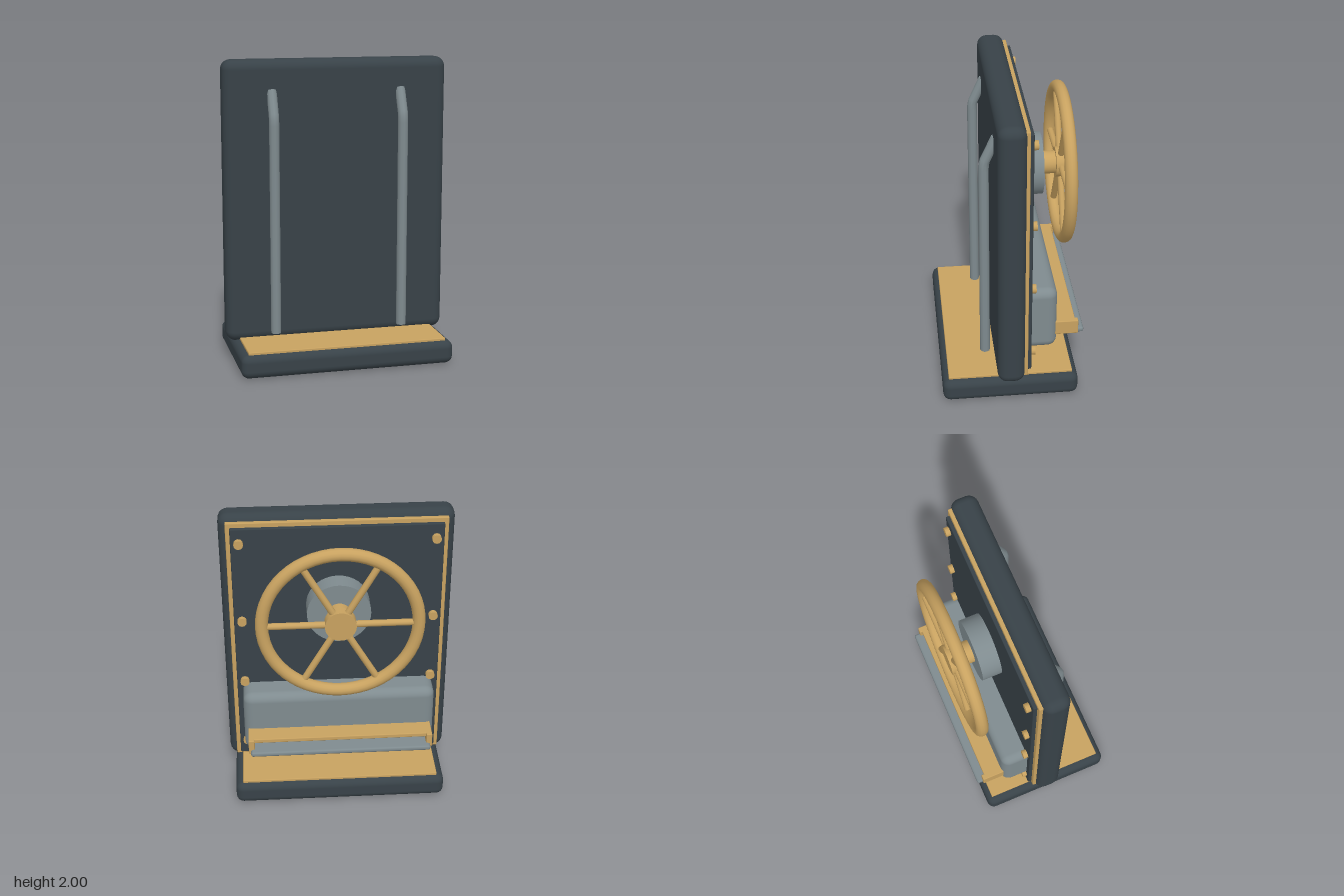
import * as THREE from 'three';
import { RoundedBoxGeometry } from 'three/addons/geometries/RoundedBoxGeometry.js';

export function createModel() {
  const model = new THREE.Group();
  const dark = new THREE.MeshStandardMaterial({ color: 0x384248 });
  const gold = new THREE.MeshStandardMaterial({ color: 0xc8a260 });
  const grey = new THREE.MeshStandardMaterial({ color: 0x7f8b8f });

  const add = (name, geometry, material, parent = model) => {
    const mesh = new THREE.Mesh(geometry, material);
    mesh.name = name;
    parent.add(mesh);
    return mesh;
  };

  // Rounded block given by its half width and its y and z extents
  const block = (name, material, halfX, [y0, y1], [z0, z1], radius, x = 0, parent = model) => {
    const g = new RoundedBoxGeometry(halfX * 2, y1 - y0, z1 - z0, radius > 0.02 ? 3 : 1, radius);
    g.translate(x, (y0 + y1) / 2, (z0 + z1) / 2);
    return add(name, g, material, parent);
  };

  // Cylinder along z between two depths
  const disc = (name, material, radius, x, y, [z0, z1], sides = 32, parent = model) => {
    const g = new THREE.CylinderGeometry(radius, radius, z1 - z0, sides);
    g.rotateX(Math.PI / 2);
    g.translate(x, y, (z0 + z1) / 2);
    return add(name, g, material, parent);
  };

  // Foot with its inlay
  block('base', dark, 0.708, [0, 0.155], [-0.427, 0.467], 0.05);
  block('baseInlay', gold, 0.66, [0.14, 0.17], [-0.39, 0.428], 0.006);

  // Upright slab with layered back plates
  block('panel', dark, 0.746, [0.143, 2], [-0.07, 0.108], 0.065);
  block('backTrim', gold, 0.7, [0.18, 1.96], [-0.09, -0.05], 0.006);
  block('backPlate', dark, 0.672, [0.207, 1.93], [-0.115, -0.08], 0.006);

  // Bolts down both sides of the back plate
  for (const x of [-0.62, 0.62])
    for (const y of [0.323, 0.81, 1.275, 1.835])
      disc('bolt', gold, 0.03, x, y, [-0.145, -0.105], 12);

  // Bent rails on the front
  for (const x of [-0.43, 0.43]) {
    const path = new THREE.CurvePath();
    const points = [[0.21, 0.168], [1.6, 0.168], [1.64, 0.162], [1.8, 0.09]]
      .map(([y, z]) => new THREE.Vector3(x, y, z));
    for (let i = 1; i < points.length; i++) path.add(new THREE.LineCurve3(points[i - 1], points[i]));
    add('rail', new THREE.TubeGeometry(path, 48, 0.033, 10, false), grey);
    // Flat ends of the rail
    const bottom = add('railEnd', new THREE.CircleGeometry(0.033, 10), grey);
    bottom.position.copy(points[0]);
    bottom.rotation.x = Math.PI / 2;
    const top = add('railEnd', new THREE.CircleGeometry(0.033, 10), grey);
    top.position.copy(points[3]);
    top.lookAt(points[3].clone().multiplyScalar(2).sub(points[2]));
  }

  // Spoked handwheel on its housing
  const wheelY = 1.38, wheelZ = -0.373;
  disc('wheelHousing', grey, 0.205, 0, wheelY, [-0.245, -0.1], 36);
  disc('wheelShaft', gold, 0.075, 0, wheelY, [-0.36, -0.235], 24);
  const wheel = new THREE.Group();
  wheel.name = 'handwheel';
  wheel.position.set(0, wheelY, wheelZ);
  model.add(wheel);
  add('rim', new THREE.TorusGeometry(0.494, 0.041, 14, 56), gold, wheel);
  disc('hub', gold, 0.1, 0, 0, [-0.035, 0.035], 28, wheel);
  for (let i = 0; i < 6; i++) {
    const spoke = new THREE.CylinderGeometry(0.022, 0.022, 0.43, 10);
    spoke.translate(0, 0.275, 0);
    spoke.rotateZ(Math.PI / 2 + i * Math.PI / 3);
    add('spoke', spoke, gold, wheel);
  }

  // Lower housing with a slotted tray
  block('trayHousing', grey, 0.635, [0.34, 0.79], [-0.287, -0.02], 0.06);
  block('trayCover', gold, 0.6, [0.5, 0.53], [-0.41, -0.27], 0.006);
  block('tray', grey, 0.597, [0.426, 0.462], [-0.467, -0.27], 0.015);
  for (const x of [-0.59, 0.59])
    block('trayBracket', gold, 0.02, [0.43, 0.53], [-0.428, -0.275], 0.006, x);

  return model;
}
